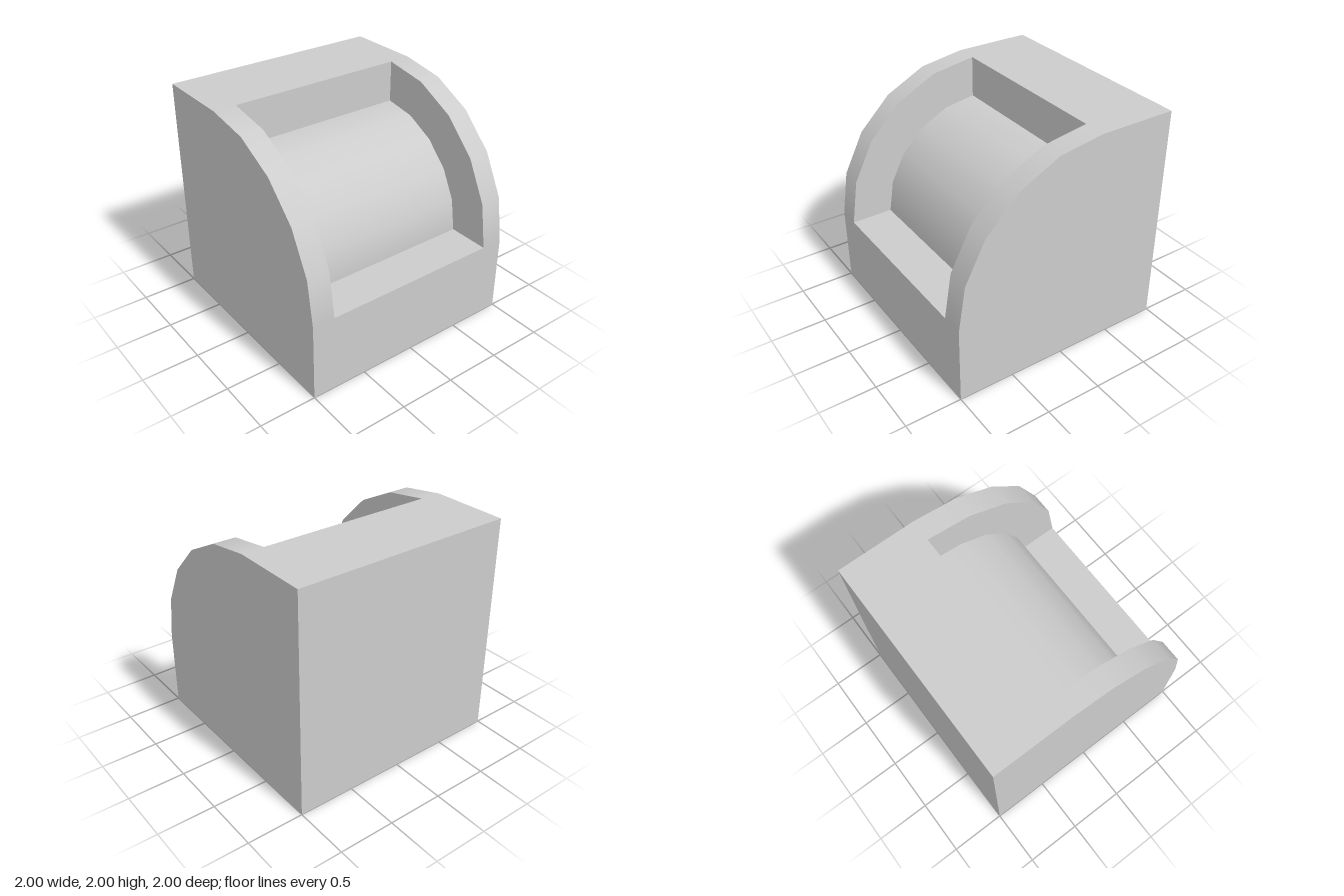
import * as THREE from 'three';

const AXIS = { z: -0.3, y: 0.7 }; // centre of both quarter arcs
const OUTER = 1.3, INNER = 0.925, HALF = 1, INSET = 0.8, STEPS = 5;

// Quarter arc as [z, y] points, from the front up to the top
function arc(radius) {
  return Array.from({ length: STEPS + 1 }, (_, i) => {
    const a = (i / STEPS) * Math.PI / 2;
    return [AXIS.z + radius * Math.cos(a), AXIS.y + radius * Math.sin(a)];
  });
}

// Sweep a [z, y] path across x; curved paths get radial normals
function strip(path, x0, x1, curved = false) {
  const pos = [], nor = [];
  for (let i = 0; i < path.length - 1; i++) {
    const p = path[i], q = path[i + 1];
    const normal = (v) => {
      const n = curved
        ? new THREE.Vector3(0, v[1] - AXIS.y, v[0] - AXIS.z)
        : new THREE.Vector3(0, p[0] - q[0], q[1] - p[1]);
      return n.normalize().toArray();
    };
    for (const [x, v] of [[x0, p], [x1, p], [x1, q], [x0, p], [x1, q], [x0, q]]) {
      pos.push(x, v[1], v[0]);
      nor.push(...normal(v));
    }
  }
  const g = new THREE.BufferGeometry();
  g.setAttribute('position', new THREE.Float32BufferAttribute(pos, 3));
  g.setAttribute('normal', new THREE.Float32BufferAttribute(nor, 3));
  return g;
}

// Flat panel in the zy plane at x, facing +x (1) or -x (-1)
function panel(points, x, facing) {
  const shape = new THREE.Shape(points.map(([z, y]) => new THREE.Vector2(-facing * z, y)));
  return new THREE.ShapeGeometry(shape).rotateY(facing * Math.PI / 2).translate(x, 0, 0);
}

export function createModel() {
  const model = new THREE.Group();
  model.name = 'curvedBlock';
  const grey = new THREE.MeshStandardMaterial({ color: 0xcccccc });
  grey.name = 'plain grey';
  const add = (name, geometry) => {
    const mesh = new THREE.Mesh(geometry, grey);
    mesh.name = name;
    model.add(mesh);
  };

  const outer = arc(OUTER), inner = arc(INNER);
  const front = outer[0], crest = outer[STEPS];

  // Box faces
  add('frontFace', strip([[1, 0], front], -HALF, HALF));
  add('topFace', strip([crest, [-1, 2]], -HALF, HALF));
  add('backFace', strip([[-1, 2], [-1, 0]], -HALF, HALF));
  add('baseFace', strip([[-1, 0], [1, 0]], -HALF, HALF));

  // Recess with the rounded drum inside
  add('recessSill', strip([front, inner[0]], -INSET, INSET));
  add('drum', strip(inner, -INSET, INSET, true));
  add('recessBackWall', strip([inner[STEPS], crest], -INSET, INSET));

  // Outer sides, curved rims and inner cheeks, mirrored
  const sideOutline = [[1, 0], ...outer, [-1, 2], [-1, 0]];
  const cheekOutline = [...outer, ...inner.slice().reverse()];
  for (const [side, s] of [['left', 1], ['right', -1]]) {
    add(side + 'Side', panel(sideOutline, s * HALF, s));
    add(side + 'Cheek', panel(cheekOutline, s * INSET, -s));
    add(side + 'Rim', strip(outer, s > 0 ? INSET : -HALF, s > 0 ? HALF : -INSET, true));
  }
  return model;
}
